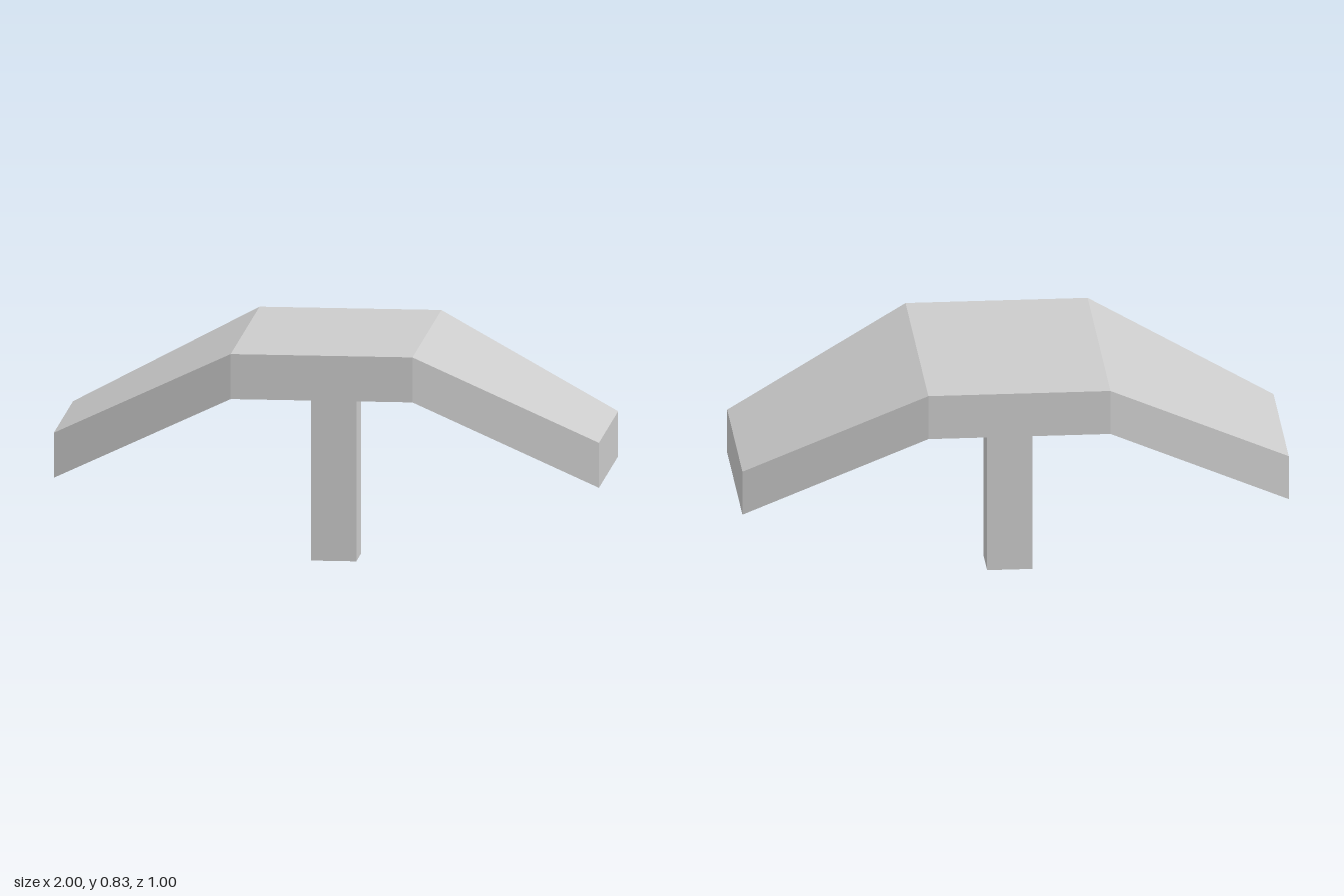
import * as THREE from 'three';

const POST = 1 / 6;       // post width
const THICK = 1 / 6;      // canopy thickness
const UNDERSIDE = 2 / 3;  // height of the canopy's flat underside

export function createModel() {
  const model = new THREE.Group();
  const material = new THREE.MeshStandardMaterial({ color: 0xcccccc, flatShading: true });

  // Canopy: a slab in three panels, its outer ends lowered and narrowed
  const slab = new THREE.BoxGeometry(2, THICK, 1, 3, 1, 1);
  const pos = slab.attributes.position;
  for (let i = 0; i < pos.count; i++) {
    if (Math.abs(pos.getX(i)) > 0.9) {
      pos.setY(i, pos.getY(i) - 1 / 3);
      pos.setZ(i, pos.getZ(i) * 2 / 3);
    }
  }
  const canopyGeometry = slab.toNonIndexed();
  canopyGeometry.computeVertexNormals();
  const canopy = new THREE.Mesh(canopyGeometry, material);
  canopy.name = 'canopy';
  canopy.position.y = UNDERSIDE + THICK / 2;
  model.add(canopy);

  // Square post from the ground to the underside of the canopy
  const post = new THREE.Mesh(new THREE.BoxGeometry(POST, UNDERSIDE, POST), material);
  post.name = 'post';
  post.position.y = UNDERSIDE / 2;
  model.add(post);

  return model;
}
